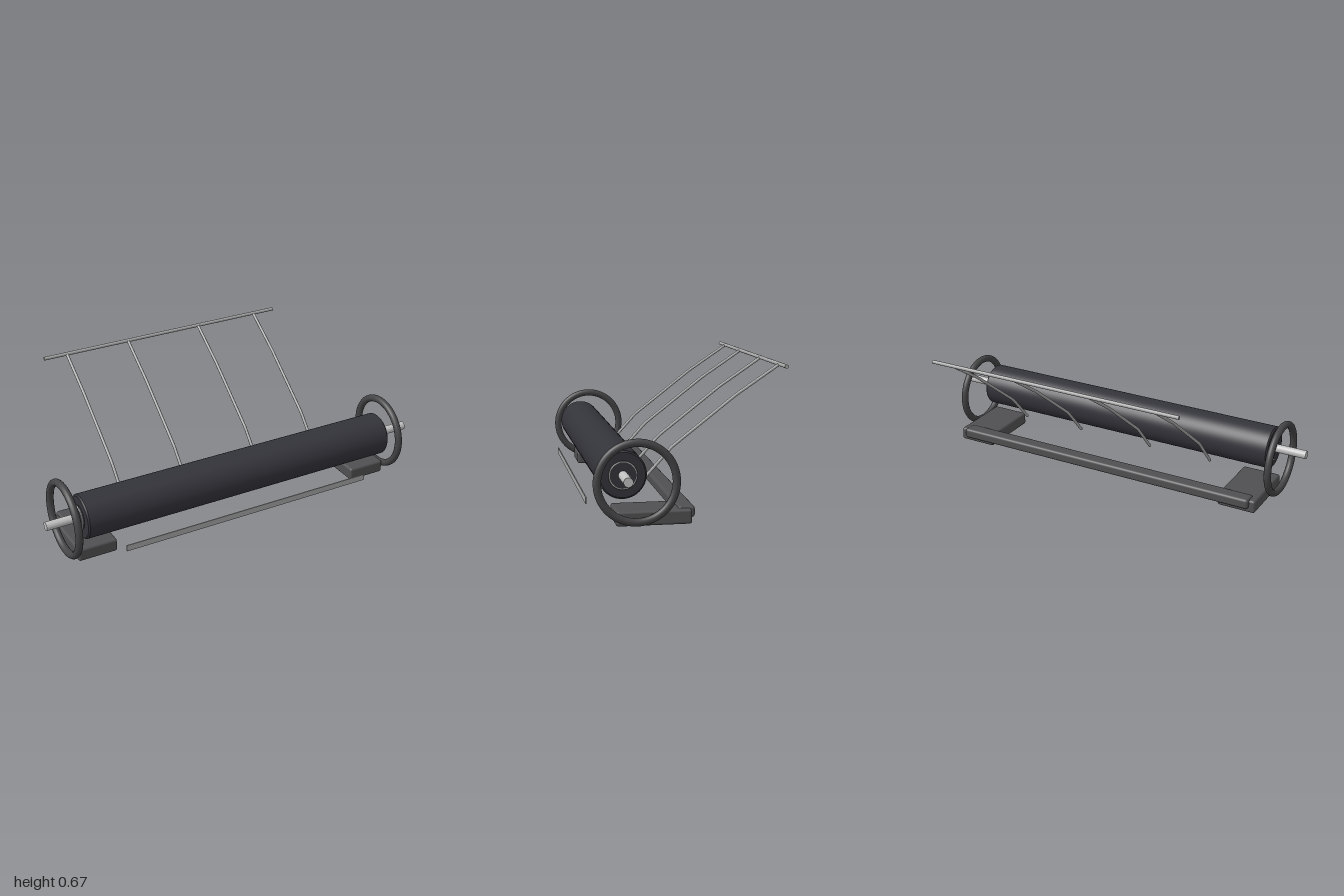
import * as THREE from 'three';
import { RoundedBoxGeometry } from 'three/addons/geometries/RoundedBoxGeometry.js';

const material = (name, color) => {
  const m = new THREE.MeshStandardMaterial({ color });
  m.name = name;
  return m;
};

export function createModel() {
  const model = new THREE.Group();
  model.name = 'rollerMachine';

  const rubber = material('dark roller', 0x33333a);
  const frame = material('frame grey', 0x505052);
  const ring = material('wheel grey', 0x444446);
  const steel = material('steel', 0xa6a6a6);
  const bright = material('bright steel', 0xc0c0c0);

  const add = (name, geometry, mat, x = 0, y = 0, z = 0) => {
    const mesh = new THREE.Mesh(geometry, mat);
    mesh.name = name;
    mesh.position.set(x, y, z);
    model.add(mesh);
    return mesh;
  };
  // cylinder lying along x
  const rod = (radius, length, sides = 32) =>
    new THREE.CylinderGeometry(radius, radius, length, sides).rotateZ(Math.PI / 2);

  const axisY = 0.225, axisZ = 0.322;

  // roller with softly bevelled ends
  const r = 0.107, h = 0.832, b = 0.007;
  const profile = [[0, -h], [r - b, -h], [r - b, -h], [r, -h + b], [r, -h + b],
    [r, h - b], [r, h - b], [r - b, h], [r - b, h], [0, h]]
    .map(([x, y]) => new THREE.Vector2(x, y));
  add('roller', new THREE.LatheGeometry(profile, 64).rotateZ(-Math.PI / 2), rubber, 0, axisY, axisZ);
  add('axle', rod(0.021, 2), bright, 0, axisY, axisZ);

  // parts mirrored on both sides
  for (const [side, s] of [['left', 1], ['right', -1]]) {
    add(side + 'Hub', rod(0.058, 0.016, 48), rubber, s * 0.837, axisY, axisZ);
    add(side + 'HubRing', new THREE.TorusGeometry(0.06, 0.004, 8, 48).rotateY(Math.PI / 2),
      steel, s * 0.842, axisY, axisZ);
    add(side + 'Wheel', new THREE.TorusGeometry(0.174, 0.018, 16, 64).rotateY(Math.PI / 2),
      ring, s * 0.887, 0.2, 0.268);
    add(side + 'Foot', new RoundedBoxGeometry(0.198, 0.066, 0.337, 3, 0.012),
      frame, s * 0.762, 0.035, 0.187);
  }

  // rear beam and front scraper strip
  add('rearBeam', new RoundedBoxGeometry(1.66, 0.052, 0.076, 3, 0.014), frame, 0, 0.05, 0.038);
  add('frontStrip', new THREE.BoxGeometry(1.33, 0.031, 0.005), steel, 0, 0.081, 0.463);

  // bent guide rods joined by a top bar
  const path = new THREE.CurvePath();
  const points = [[0.187, 0.143], [0.052, 0.292], [-0.25, 0.527], [-0.455, 0.665]]
    .map(([z, y]) => new THREE.Vector3(0, y, z));
  for (let i = 0; i < points.length - 1; i++) {
    path.add(new THREE.LineCurve3(points[i], points[i + 1]));
  }
  const guide = new THREE.TubeGeometry(path, 40, 0.0075, 12, false);
  for (const x of [-0.543, -0.204, 0.204, 0.543]) {
    add('guideRod', guide, steel, x);
    const cap = add('guideRodEnd', new THREE.CircleGeometry(0.0075, 12), steel, x, points[0].y, points[0].z);
    cap.lookAt(x, 2 * points[0].y - points[1].y, 2 * points[0].z - points[1].z);
  }
  add('topBar', rod(0.009, 1.33, 16), steel, 0, 0.665, -0.455);

  return model;
}
